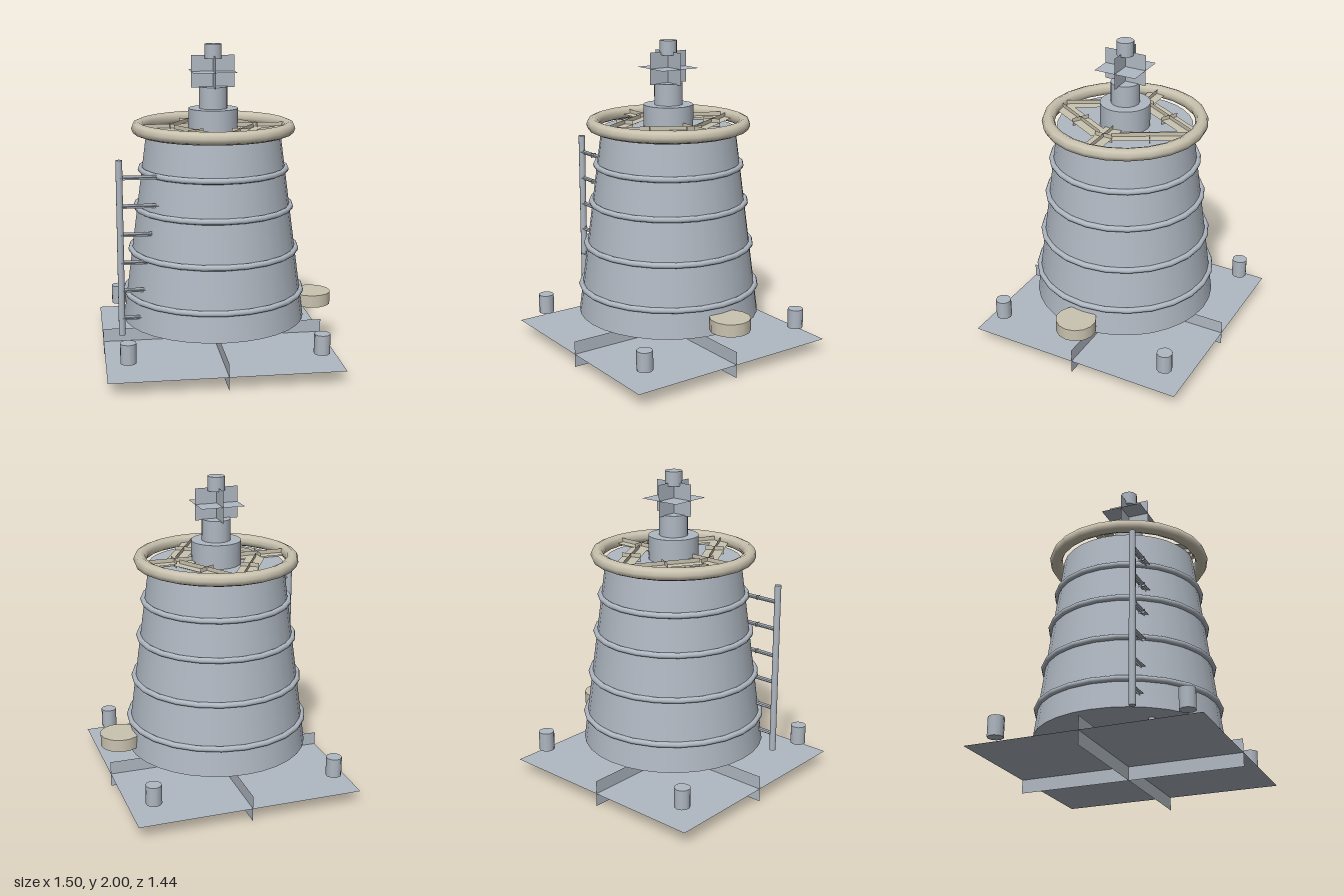
import * as THREE from 'three';

export function createModel() {
  const model = new THREE.Group();
  const CX = -0.03; // axis of the tank

  const steel = new THREE.MeshStandardMaterial({ color: 0xb0b8c2, side: THREE.DoubleSide });
  steel.name = 'steel grey';
  const beige = new THREE.MeshStandardMaterial({ color: 0xcac3b0, side: THREE.DoubleSide });
  beige.name = 'warm beige';

  function add(parent, name, geometry, material, x = 0, y = 0, z = 0) {
    const mesh = new THREE.Mesh(geometry, material);
    mesh.name = name;
    mesh.position.set(x, y, z);
    parent.add(mesh);
    return mesh;
  }

  // Upright cylinder between two heights
  function column(name, rTop, rBottom, y0, y1, sides, material, x, z = 0) {
    const geometry = new THREE.CylinderGeometry(rTop, rBottom, y1 - y0, sides);
    return add(model, name, geometry, material, x, (y0 + y1) / 2, z);
  }

  // Three crossing mid-planes of a box
  function crossedPlates(name, w, h, d, material, x, y, z = 0) {
    const group = new THREE.Group();
    group.name = name;
    group.position.set(x, y, z);
    add(group, name + 'Level', new THREE.PlaneGeometry(w, d).rotateX(-Math.PI / 2), material);
    add(group, name + 'Lengthwise', new THREE.PlaneGeometry(w, h), material);
    add(group, name + 'Crosswise', new THREE.PlaneGeometry(d, h).rotateY(Math.PI / 2), material);
    model.add(group);
    return group;
  }

  function hoop(name, radius, tube, y, material) {
    const geometry = new THREE.TorusGeometry(radius, tube, 8, 24).rotateX(Math.PI / 2);
    return add(model, name, geometry, material, CX, y);
  }

  // Base slab and corner anchor posts
  crossedPlates('base', 1.44, 0.17, 1.44, steel, CX, 0.085);
  for (const sx of [-1, 1]) {
    for (const sz of [-1, 1]) {
      column('anchorPost', 0.05, 0.05, 0.16, 0.285, 10, steel, CX + sx * 0.59, sz * 0.59);
    }
  }

  // Tapered tank with reinforcing hoops
  const bottomY = 0.25, topY = 1.45, bottomR = 0.583, topR = 0.424;
  column('tank', topR, bottomR, bottomY, topY, 32, steel, CX);
  for (const y of [0.43, 0.705, 0.98, 1.22]) {
    const r = bottomR + (topR - bottomR) * (y - bottomY) / (topY - bottomY);
    hoop('tankHoop', r + 0.007, 0.019, y, steel);
  }

  // Thick rim and the six planks inside it
  hoop('topRim', 0.477, 0.041, 1.48, beige);
  for (let i = 0; i < 6; i++) {
    const a = i * Math.PI / 3;
    const plank = crossedPlates('topPlank', 0.455, 0.05, 0.116, beige,
      CX + 0.275 * Math.cos(a), 1.478, 0.275 * Math.sin(a));
    plank.rotation.y = a;
  }

  // Central stack
  column('collar', 0.157, 0.157, 1.45, 1.6, 20, steel, CX);
  column('neck', 0.09, 0.09, 1.6, 1.735, 16, steel, CX);
  crossedPlates('headBlock', 0.275, 0.2, 0.275, steel, CX - 0.002, 1.83);
  column('headCap', 0.054, 0.054, 1.91, 2.0, 12, steel, CX);

  // Side hatch
  column('sideHatch', 0.127, 0.127, 0.295, 0.375, 14, beige, 0.62).rotation.y = Math.PI / 2;

  // Ladder: two rails and six rungs
  for (const x of [-0.64, -0.345]) {
    column('ladderRail', 0.021, 0.021, 0.225, 1.33, 10, steel, x, 0.275);
  }
  for (let i = 0; i < 6; i++) {
    crossedPlates('ladderRung', 0.295, 0.028, 0.04, steel, -0.4925, 0.336 + i * 0.177, 0.275);
  }

  return model;
}
